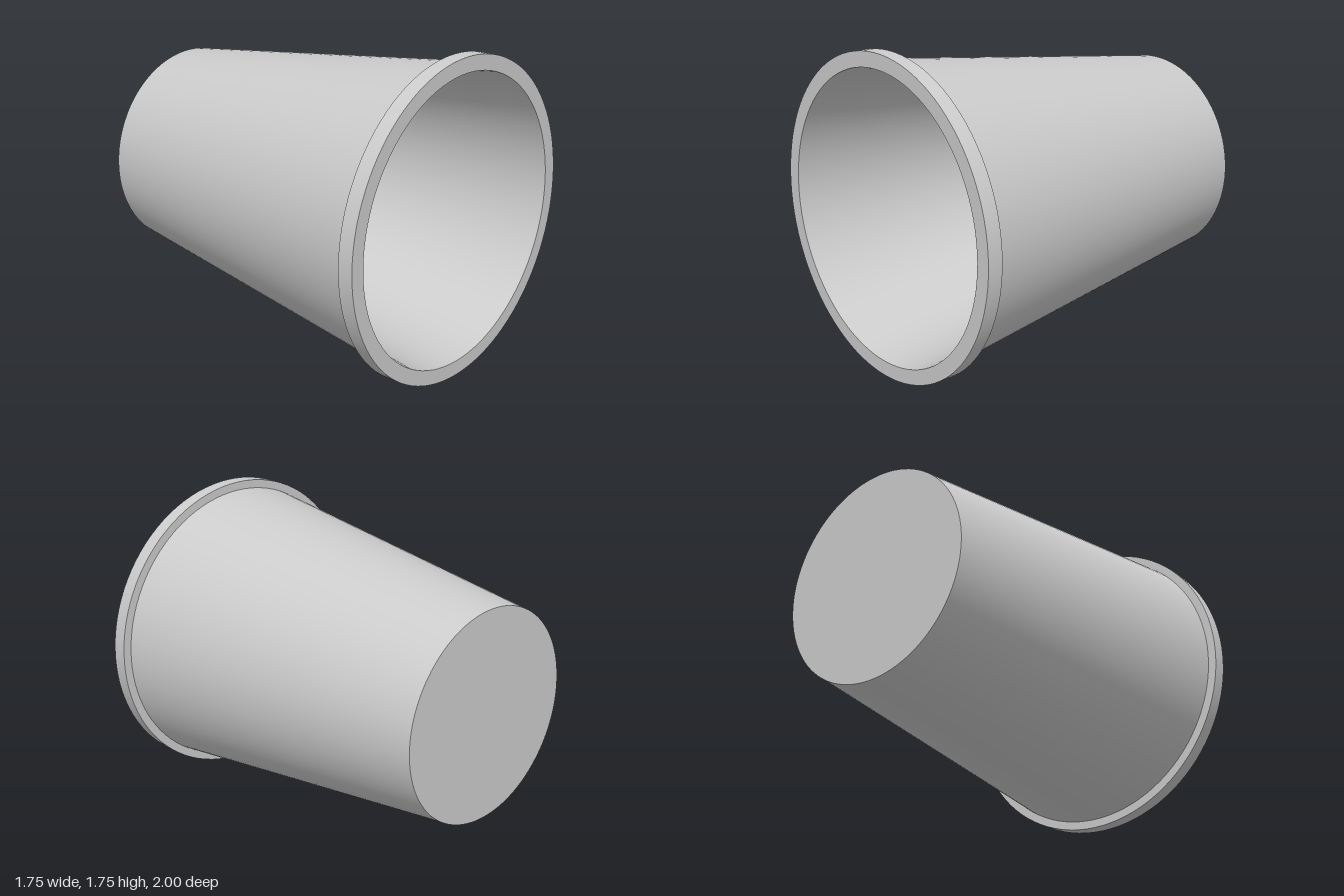
import * as THREE from 'three';
import { toCreasedNormals } from 'three/addons/utils/BufferGeometryUtils.js';

const SIDES = 96;
const CENTRE_Y = 0.873;

export function createModel() {
  const group = new THREE.Group();
  group.name = 'cup';
  const material = new THREE.MeshStandardMaterial({ color: 0xcccccc });

  // Profile points are [radius, z]; the axis lies along z
  const revolve = (name, profile) => {
    const points = profile.map(([r, z]) => new THREE.Vector2(r, z));
    const geometry = new THREE.LatheGeometry(points, SIDES).rotateX(Math.PI / 2);
    const mesh = new THREE.Mesh(toCreasedNormals(geometry, Math.PI / 6), material);
    mesh.name = name;
    mesh.position.y = CENTRE_Y;
    group.add(mesh);
  };

  // Closed base and tapered outer wall
  revolve('outerWall', [[0, -1], [0.585, -1], [0.825, 0.915]]);

  // Collar around the mouth
  revolve('rim', [[0.825, 0.915], [0.873, 0.915], [0.873, 1], [0.79, 1]]);

  // Tapered inner wall down to the inside floor
  revolve('innerWall', [[0.79, 1], [0.552, -0.915], [0, -0.915]]);

  return group;
}
